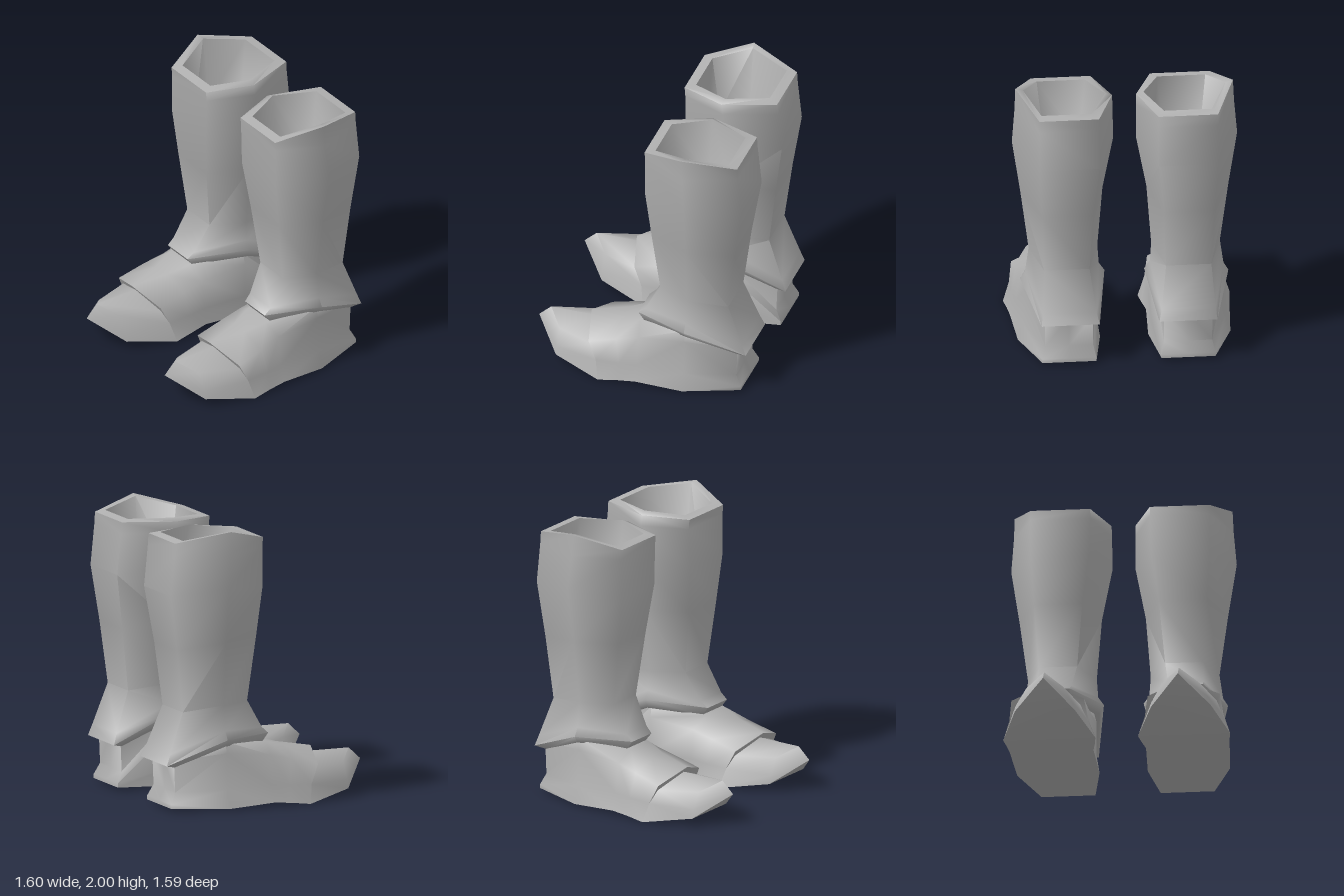
import * as THREE from 'three';
import { toCreasedNormals } from 'three/addons/utils/BufferGeometryUtils.js';

const leather = new THREE.MeshStandardMaterial({ color: 0xb0b0b0 });
leather.name = 'grey leather';

// Skin closed rings of [x, y, z] points; side -1 mirrors the shape across x = 0.
function loft(rings, side) {
  const pos = [];
  const same = (p, q) => p.every((v, k) => Math.abs(v - q[k]) < 1e-6);
  const tri = (a, b, c) => {
    if (same(a, b) || same(b, c) || same(a, c)) return;
    for (const [x, y, z] of side > 0 ? [a, b, c] : [a, c, b]) pos.push(x * side, y, z);
  };
  for (let r = 0; r < rings.length - 1; r++) {
    const a = rings[r], b = rings[r + 1], n = a.length;
    for (let i = 0; i < n; i++) {
      const j = (i + 1) % n;
      tri(a[i], b[i], b[j]);
      tri(a[i], b[j], a[j]);
    }
  }
  const g = new THREE.BufferGeometry();
  g.setAttribute('position', new THREE.Float32BufferAttribute(pos, 3));
  return toCreasedNormals(g, 1.3);
}

// Hexagonal ring: back, side and front corner pairs, inner leg to outer leg.
const hex = ([bi, bo, by, bz], [si, so, yi, yo, sz], [fi, fo, fy, fz]) => [
  [bi, by, bz], [si, yi, sz], [fi, fy, fz],
  [fo, fy, fz], [so, yo, sz], [bo, by, bz],
];

// Shaft: hollow lining, rim, calf, ankle, flared skirt and its underside.
const shaftRings = [
  Array(6).fill([0.425, 1.2, -0.39]),
  hex([0.30, 0.56, 1.5, -0.60], [0.20, 0.65, 1.5, 1.5, -0.38], [0.30, 0.55, 1.5, -0.19]),
  hex([0.255, 0.61, 1.935, -0.67], [0.135, 0.715, 1.94, 1.99, -0.38], [0.255, 0.595, 1.92, -0.12]),
  hex([0.21, 0.63, 1.925, -0.74], [0.085, 0.768, 1.92, 2.0, -0.37], [0.21, 0.63, 1.91, -0.05]),
  hex([0.21, 0.63, 1.84, -0.745], [0.083, 0.775, 1.84, 1.84, -0.38], [0.21, 0.63, 1.84, -0.055]),
  hex([0.21, 0.63, 1.55, -0.775], [0.08, 0.795, 1.6, 1.6, -0.4], [0.22, 0.63, 1.55, -0.055]),
  hex([0.25, 0.61, 1.15, -0.715], [0.155, 0.735, 1.2, 1.2, -0.39], [0.27, 0.61, 1.2, -0.095]),
  hex([0.27, 0.59, 0.70, -0.66], [0.19, 0.675, 0.74, 0.74, -0.38], [0.31, 0.58, 0.74, -0.15]),
  hex([0.23, 0.61, 0.41, -0.77], [0.18, 0.70, 0.60, 0.56, -0.38], [0.34, 0.59, 0.54, -0.04]),
  hex([0.21, 0.62, 0.33, -0.80], [0.14, 0.735, 0.54, 0.50, -0.38], [0.35, 0.59, 0.495, 0.01]),
  hex([0.25, 0.59, 0.31, -0.72], [0.17, 0.70, 0.475, 0.45, -0.38], [0.36, 0.59, 0.43, -0.04]),
  hex([0.30, 0.55, 0.36, -0.65], [0.24, 0.64, 0.47, 0.45, -0.38], [0.38, 0.57, 0.43, -0.12]),
];

// Foot section: sole edge, welt, shoulder and crest, each as [inner x, outer x, y, z].
const section = (...rows) => [
  ...rows.map(([i, , y, z]) => [i, y, z]),
  ...rows.slice().reverse().map(([, o, y, z]) => [o, y, z]),
];
const heel = section([0.23, 0.61, 0.02, -0.76], [0.23, 0.61, 0.05, -0.76],
  [0.25, 0.59, 0.13, -0.72], [0.25, 0.59, 0.36, -0.73]);
const tip = Array(8).fill([0.475, 0.22, 0.79]);
const footRings = [
  heel.map(([, y, z]) => [0.42, y, z]),
  heel,
  section([0.17, 0.75, 0.01, -0.37], [0.19, 0.715, 0.14, -0.37],
    [0.19, 0.70, 0.40, -0.37], [0.21, 0.68, 0.48, -0.37]),
  section([0.185, 0.775, 0.03, -0.03], [0.205, 0.735, 0.15, -0.03],
    [0.225, 0.70, 0.36, -0.03], [0.36, 0.59, 0.435, 0]),
  section([0.165, 0.785, 0.018, 0.1], [0.2, 0.75, 0.14, 0.1],
    [0.225, 0.72, 0.32, 0.13], [0.41, 0.54, 0.39, 0.15]),
  // Edge of the instep plate
  section([0.15, 0.80, 0, 0.24], [0.20, 0.755, 0.135, 0.27],
    [0.225, 0.735, 0.265, 0.33], [0.475, 0.475, 0.35, 0.40]),
  // Toe cap tucked beneath it
  section([0.15, 0.80, 0, 0.24], [0.205, 0.75, 0.13, 0.265],
    [0.25, 0.71, 0.225, 0.31], [0.475, 0.475, 0.31, 0.37]),
  section([0.27, 0.69, 0.06, 0.59], [0.285, 0.675, 0.12, 0.59],
    [0.345, 0.61, 0.235, 0.59], [0.475, 0.475, 0.305, 0.70]),
  tip,
];

export function createModel() {
  const model = new THREE.Group();
  model.name = 'pairOfBoots';
  for (const side of [1, -1]) {
    const boot = new THREE.Group();
    boot.name = side > 0 ? 'leftBoot' : 'rightBoot';
    for (const [name, rings] of [['shaft', shaftRings], ['foot', footRings]]) {
      const mesh = new THREE.Mesh(loft(rings, side), leather);
      mesh.name = name;
      boot.add(mesh);
    }
    model.add(boot);
  }
  return model;
}
